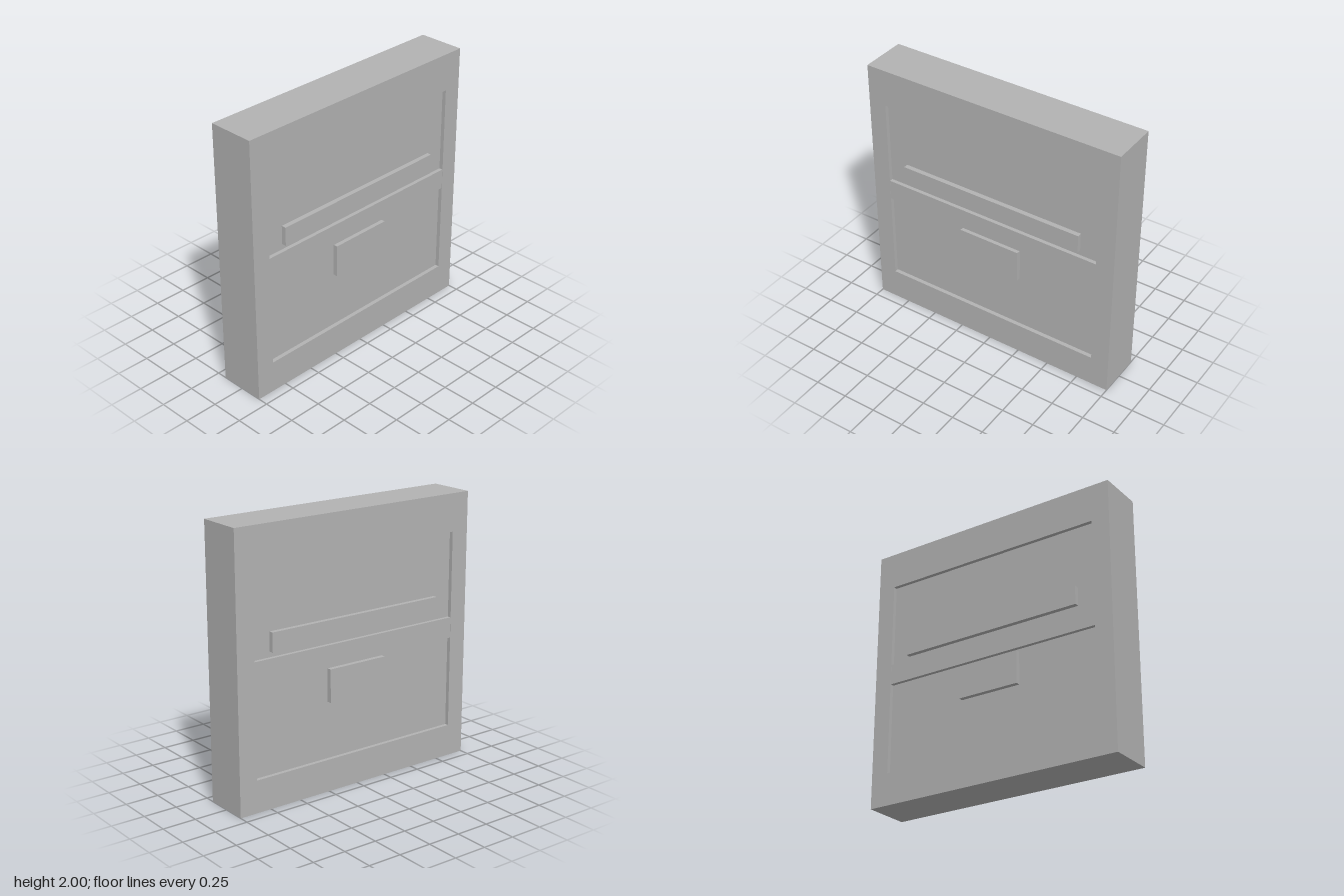
import * as THREE from 'three';

export function createModel() {
  const group = new THREE.Group();
  const grey = new THREE.MeshStandardMaterial({ color: 0xb2b2b2 });
  grey.name = 'grey';

  const add = (name, geometry, x = 0, y = 0, z = 0) => {
    const mesh = new THREE.Mesh(geometry, grey);
    mesh.name = name;
    mesh.position.set(x, y, z);
    group.add(mesh);
  };
  const rect = (P, x, y0, y1) => new P([
    new THREE.Vector2(-x, y0), new THREE.Vector2(x, y0),
    new THREE.Vector2(x, y1), new THREE.Vector2(-x, y1),
  ]);

  const half = 0.175;      // half thickness of the frame
  const recess = 0.145;    // face of the sunken panel

  // Thick outer frame with a rectangular opening
  const outline = rect(THREE.Shape, 1, 0, 2);
  outline.holes.push(rect(THREE.Path, 0.863, 0.24, 1.72));
  add('frame', new THREE.ExtrudeGeometry(outline, { depth: half * 2, bevelEnabled: false }), 0, 0, -half);

  // Panel filling the opening, sunken on both sides
  add('panel', new THREE.BoxGeometry(1.726, 1.48, recess * 2), 0, 0.98, 0);

  // Raised details, mirrored on front and back: name, width, bottom, top, outer face
  const details = [
    ['crossRail', 1.726, 0.925, 1.08, 0.173],
    ['upperBar', 1.44, 1.12, 1.26, 0.18],
    ['lowerPlate', 0.48, 0.66, 0.905, 0.18],
  ];
  for (const [name, width, bottom, top, face] of details) {
    for (const side of [1, -1]) {
      const depth = face - recess;
      add(name + (side > 0 ? 'Front' : 'Back'), new THREE.BoxGeometry(width, top - bottom, depth),
        0, (bottom + top) / 2, side * (recess + depth / 2));
    }
  }
  return group;
}
